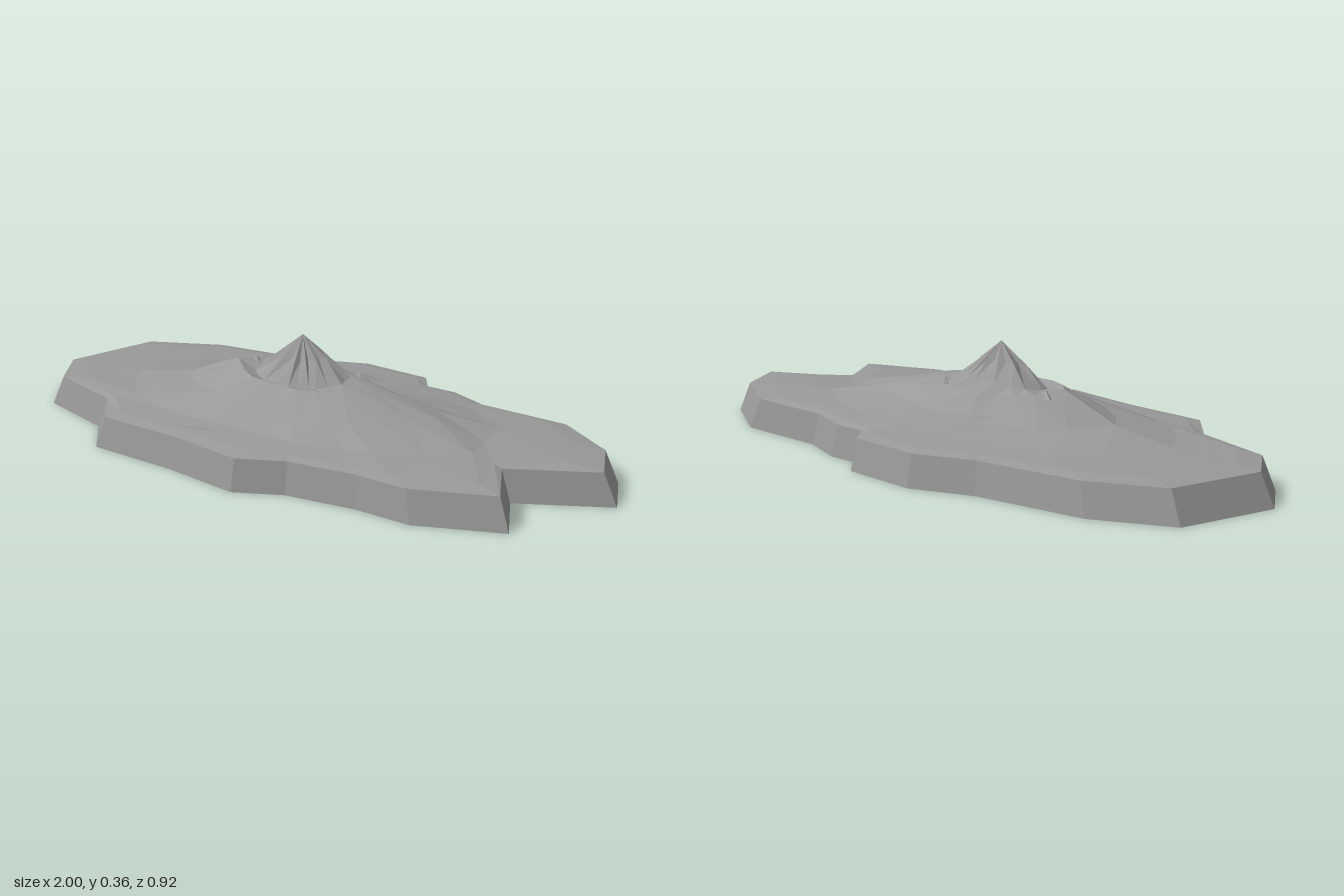
import * as THREE from 'three';

const CX = -0.045, CZ = 0.015; // summit position

// Shoreline at ground level, [x, z]
const SHORE = [
  [-1, 0.01], [-0.86, -0.28], [-0.61, -0.375], [-0.25, -0.4], [-0.045, -0.461], [0.195, -0.436],
  [0.235, -0.365], [0.34, -0.36], [0.475, -0.3], [0.77, -0.28], [0.95, -0.145], [1, 0.016],
  [0.715, 0.137], [0.785, 0.32], [0.515, 0.405], [0.335, 0.39], [0.11, 0.405], [-0.045, 0.464],
  [-0.295, 0.415], [-0.59, 0.386], [-0.68, 0.25], [-0.93, 0.16],
];

// Terrain contours: [reach, height] toward right, front, left and back
const CONTOURS = {
  slopeFoot: [[0.64, 0.12], [0.28, 0.121], [0.65, 0.117], [0.31, 0.12]],
  shoulder: [[0.44, 0.165], [0.195, 0.178], [0.42, 0.155], [0.18, 0.138]],
  craterRim: [[0.24, 0.215], [0.12, 0.218], [0.225, 0.237], [0.12, 0.203]],
  craterFloor: [[0.155, 0.228], [0.09, 0.208], [0.165, 0.218], [0.088, 0.245]],
};

let seed = 7;
const random = () => (seed = (seed * 16807) % 2147483647) / 2147483647;

// Closed contour blended between its four directions, with slight unevenness
function contour(sides, rough) {
  return SHORE.map(([sx, sz]) => {
    const a = Math.atan2((sz - CZ) / 0.45, sx - CX);
    const c = Math.cos(a), s = Math.sin(a);
    const [ex, ez] = [sides[c > 0 ? 0 : 2], sides[s > 0 ? 1 : 3]];
    const k = 1 + (random() - 0.5) * rough;
    return [CX + c * ex[0] * k, ex[1] * c * c + ez[1] * s * s + (random() - 0.5) * rough * 0.04, CZ + s * ez[0] * k];
  });
}

// Faceted band joining an outer or lower ring to an inner or upper one
function band(outer, inner) {
  const p = [], n = outer.length;
  for (let i = 0; i < n; i++) {
    const j = (i + 1) % n;
    p.push(...outer[i], ...inner[i], ...outer[j], ...outer[j], ...inner[i], ...inner[j]);
  }
  return faceted(p);
}

function faceted(p) {
  const g = new THREE.BufferGeometry();
  g.setAttribute('position', new THREE.Float32BufferAttribute(p, 3));
  g.computeVertexNormals();
  return g;
}

export function createModel() {
  const group = new THREE.Group();
  const stone = new THREE.MeshStandardMaterial({ color: 0x999999, flatShading: true, side: THREE.DoubleSide });
  stone.name = 'grey stone';
  const add = (name, geometry) => {
    const mesh = new THREE.Mesh(geometry, stone);
    mesh.name = name;
    group.add(mesh);
  };

  // Sloping shore wall
  const base = SHORE.map(([x, z]) => [x, 0, z]);
  const edge = SHORE.map(([x, z]) => [x * 0.953, 0.102, z * 0.953]);
  add('shoreWall', band(base, edge));

  // Plain and mountain slopes
  const foot = contour(CONTOURS.slopeFoot, 0.1);
  const shoulder = contour(CONTOURS.shoulder, 0.1);
  const rim = contour(CONTOURS.craterRim, 0.12);
  const floor = contour(CONTOURS.craterFloor, 0.12);
  const plain = edge.map(([x, , z], i) => [x * 0.72 + foot[i][0] * 0.28, 0.111, z * 0.72 + foot[i][2] * 0.28]);
  const levels = [edge, plain, foot, shoulder, rim, floor];
  const names = ['outerPlain', 'innerPlain', 'lowerSlope', 'upperSlope', 'craterBench'];
  names.forEach((name, i) => add(name, band(levels[i], levels[i + 1])));

  // Spiky summit cone with alternating ridges and gullies
  const waist = floor.map(([x, y, z], i) => {
    const t = i % 2 ? 0.54 : 0.42;
    return [CX + (x - CX) * t, y + (0.355 - y) * 0.5, CZ + (z - CZ) * t];
  });
  add('summitLower', band(floor, waist));
  add('summitUpper', band(waist, floor.map(() => [CX, 0.356, CZ])));

  // Hollow tier walls hanging beneath the terrain
  [foot, shoulder, rim].forEach((ring, i) => {
    const low = ring.map(([x, y, z]) => [CX + (x - CX) * 1.03, y - 0.09, CZ + (z - CZ) * 1.03]);
    add('tierWall' + (i + 1), band(low, ring));
  });

  // Low rock ledges and crags: start, end, crest height, drop to the ends, half width
  const ledges = [
    [[-0.61, 0.19], [-0.39, 0.225], 0.126, 0.007, 0.012],
    [[-0.32, 0.345], [-0.15, 0.315], 0.122, 0.007, 0.012],
    [[-0.15, -0.37], [0.07, -0.385], 0.118, 0.007, 0.012],
    [[-0.24, -0.13], [0.12, -0.175], 0.16, 0.018, 0.015],
    [[0.04, -0.015], [0.2, -0.105], 0.232, 0.03, 0.025],
    [[-0.28, -0.06], [-0.2, 0.01], 0.235, 0.02, 0.025],
  ];
  for (const [[ax, az], [bx, bz], y, drop, w] of ledges) {
    const len = Math.hypot(bx - ax, bz - az);
    const nx = -(bz - az) / len * w, nz = (bx - ax) / len * w;
    const a = [ax, y - drop, az], b = [bx, y - drop, bz];
    const mx = (ax + bx) / 2, mz = (az + bz) / 2;
    const top = [mx, y, mz], f = [mx + nx, y - 0.02, mz + nz], k = [mx - nx, y - 0.02, mz - nz];
    add('rockLedge', faceted([...a, ...f, ...top, ...f, ...b, ...top, ...b, ...k, ...top, ...k, ...a, ...top]));
  }
  return group;
}
